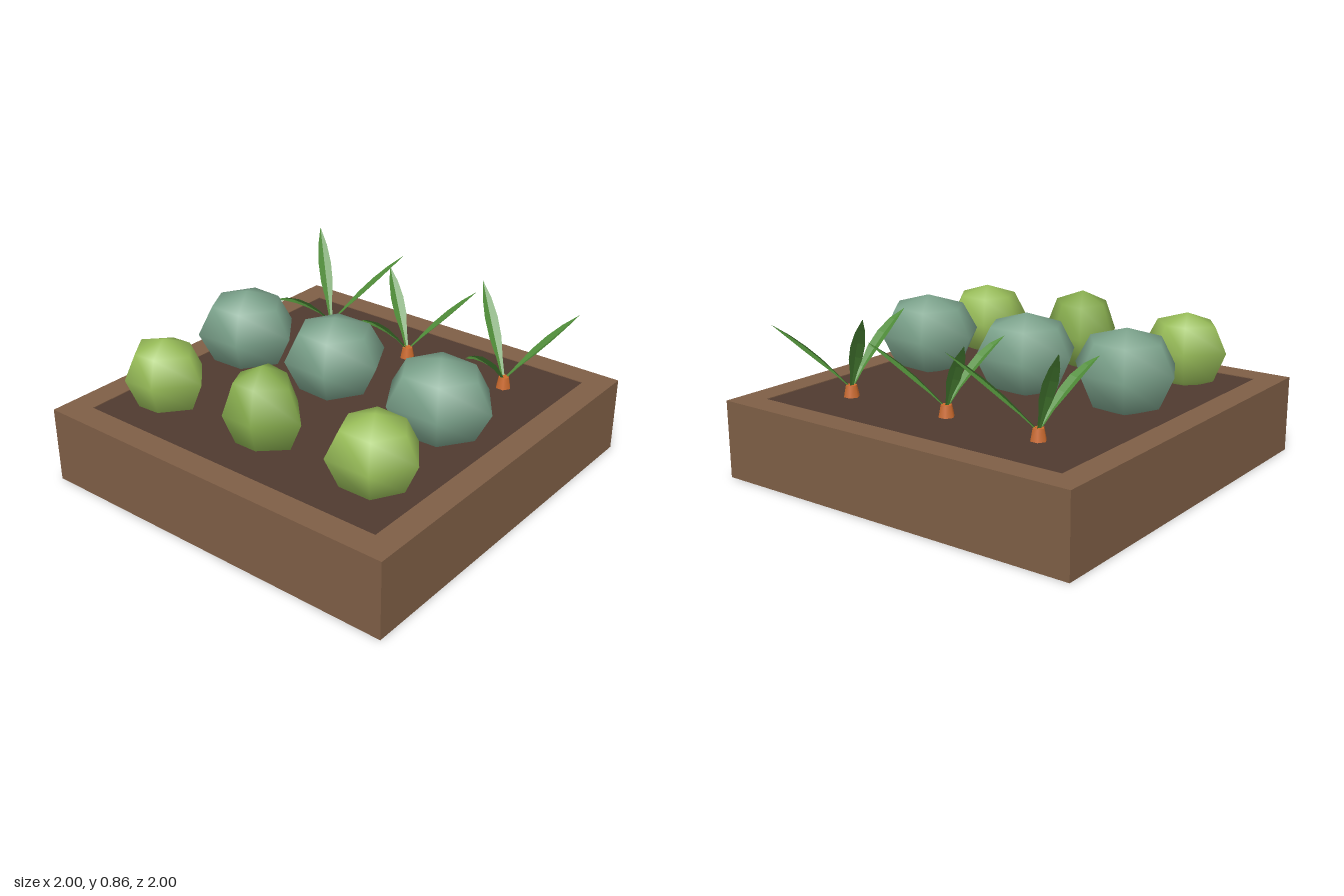
import * as THREE from 'three';
import { mergeVertices } from 'three/addons/utils/BufferGeometryUtils.js';

const paint = (color) => new THREE.MeshStandardMaterial({ color });
const wood = paint(0x7f5f46), earth = paint(0x503a30);
const limeGreen = paint(0x9abf5a), darkLime = paint(0x8ab050), blueGreen = paint(0x7ca38c);
const leafGreen = paint(0x4f8c38), orange = paint(0xcc6a2c);
const SOIL = 0.388;

function add(parent, name, geometry, material) {
  const mesh = new THREE.Mesh(geometry, material);
  mesh.name = name;
  parent.add(mesh);
  return mesh;
}

// Square frame, open below
function frameGeometry() {
  const square = (s) => [[-s, -s], [s, -s], [s, s], [-s, s]].map(([x, y]) => new THREE.Vector2(x, y));
  const shape = new THREE.Shape(square(1));
  shape.holes.push(new THREE.Path(square(0.867).reverse()));
  return new THREE.ExtrudeGeometry(shape, { depth: 0.392, bevelEnabled: false }).rotateX(-Math.PI / 2);
}

// Six-sided lumpy head: the outline gives the widest ring, starting at the back and going to +x
function headGeometry(outline, y, top, bottom) {
  const geo = new THREE.SphereGeometry(1, 6, 4).rotateY(Math.PI / 2);
  const p = geo.attributes.position;
  const cx = outline.reduce((s, o) => s + o[0], 0) / 6;
  const cz = outline.reduce((s, o) => s + o[1], 0) / 6;
  for (let i = 0; i < p.count; i++) {
    const x = p.getX(i), z = p.getZ(i), h = p.getY(i);
    const k = (Math.round(Math.atan2(x, -z) / (Math.PI / 3)) + 6) % 6;
    const r = Math.hypot(x, z);
    p.setXYZ(i, cx + (outline[k][0] - cx) * r, y + h * (h > 0 ? top - y : y - bottom), cz + (outline[k][1] - cz) * r);
  }
  geo.deleteAttribute('uv');
  geo.deleteAttribute('normal');
  const merged = mergeVertices(geo, 1e-4);
  merged.computeVertexNormals();
  return merged;
}

// Pointed leaf with a four-cornered lens section swept along a bent line
function leafGeometry(base, tip, lift) {
  const mid = base.clone().lerp(tip, 0.5);
  mid.y += lift;
  const curve = new THREE.QuadraticBezierCurve3(base, mid, tip);
  const widths = [0.007, 0.017, 0.033, 0.035, 0.024, 0.001];
  const pos = [], index = [], n = widths.length;
  widths.forEach((w, i) => {
    const t = i / (n - 1), c = curve.getPoint(t), dir = curve.getTangent(t);
    const side = new THREE.Vector3().crossVectors(dir, new THREE.Vector3(0, 1, 0)).normalize();
    const up = new THREE.Vector3().crossVectors(side, dir);
    for (const [a, b] of [[1, 0], [0, 0.35], [-1, 0], [0, -0.35]]) {
      pos.push(...c.clone().addScaledVector(side, a * w).addScaledVector(up, b * w).toArray());
    }
  });
  for (let i = 0; i < n - 1; i++) {
    for (let j = 0; j < 4; j++) {
      const a = i * 4 + j, b = i * 4 + (j + 1) % 4;
      index.push(a, b, b + 4, a, b + 4, a + 4);
    }
  }
  const geo = new THREE.BufferGeometry();
  geo.setAttribute('position', new THREE.Float32BufferAttribute(pos, 3));
  geo.setIndex(index);
  const flat = geo.toNonIndexed();
  flat.computeVertexNormals();
  return flat;
}

export function createModel() {
  const model = new THREE.Group();
  model.name = 'vegetableBed';

  add(model, 'frame', frameGeometry(), wood);
  add(model, 'soil', new THREE.BoxGeometry(1.734, SOIL - 0.33, 1.734), earth).position.y = (SOIL + 0.33) / 2;

  // Row of lettuces
  const lettuces = [
    { top: 0.75, color: limeGreen, outline: [[-0.61, -0.83], [-0.45, -0.68], [-0.44, -0.53], [-0.605, -0.37], [-0.79, -0.52], [-0.8, -0.69]] },
    { top: 0.79, color: darkLime, outline: [[-0.61, -0.16], [-0.405, -0.1], [-0.435, 0.085], [-0.605, 0.25], [-0.76, 0.085], [-0.76, -0.09]] },
    { top: 0.75, color: limeGreen, outline: [[-0.565, 0.425], [-0.38, 0.51], [-0.39, 0.74], [-0.565, 0.865], [-0.765, 0.75], [-0.765, 0.51]] },
  ];
  for (const l of lettuces) add(model, 'lettuce', headGeometry(l.outline, 0.57, l.top, 0.355), l.color);

  // Row of cabbages
  const cabbages = [
    [[-0.005, -0.88], [0.22, -0.75], [0.21, -0.51], [0, -0.345], [-0.23, -0.5], [-0.24, -0.75]],
    [[0.01, -0.32], [0.235, -0.2], [0.235, 0.08], [0.01, 0.2], [-0.22, 0.06], [-0.205, -0.2]],
    [[-0.03, 0.325], [0.2, 0.455], [0.18, 0.735], [-0.03, 0.885], [-0.25, 0.735], [-0.26, 0.46]],
  ];
  for (const outline of cabbages) add(model, 'cabbage', headGeometry(outline, 0.59, 0.79, 0.365), blueGreen);

  // Row of carrots: root position, then three leaf tips
  const carrots = [
    { at: [0.58, -0.545], tips: [[0.17, 0.69, -0.59], [0.8, 0.86, -0.8], [0.87, 0.8, -0.27]] },
    { at: [0.555, -0.005], tips: [[0.19, 0.71, -0.065], [0.715, 0.79, -0.245], [0.79, 0.75, 0.255]] },
    { at: [0.58, 0.575], tips: [[0.125, 0.74, 0.63], [0.76, 0.84, 0.31], [0.845, 0.76, 0.825]] },
  ];
  for (const { at: [x, z], tips } of carrots) {
    const carrot = new THREE.Group();
    carrot.name = 'carrot';
    model.add(carrot);
    add(carrot, 'root', new THREE.CylinderGeometry(0.028, 0.042, 0.07, 6), orange).position.set(x, 0.412, z);
    tips.forEach((tip, i) => {
      const base = new THREE.Vector3(x, 0.43, z);
      add(carrot, 'leaf', leafGeometry(base, new THREE.Vector3(...tip), i === 0 ? 0.09 : 0.03), leafGreen);
    });
  }
  return model;
}
